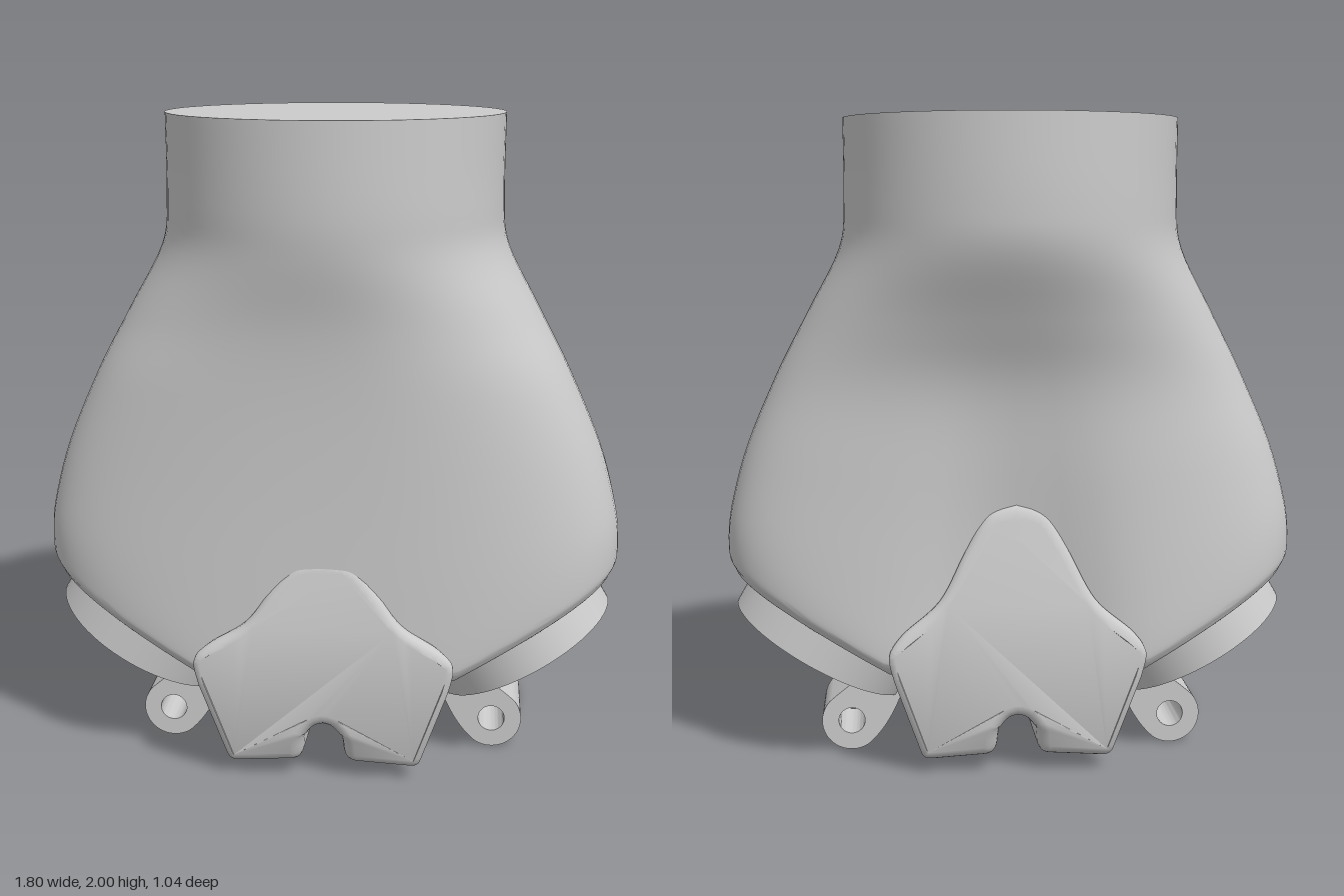
import * as THREE from 'three';
import { mergeVertices, toCreasedNormals } from 'three/addons/utils/BufferGeometryUtils.js';

const grey = new THREE.MeshStandardMaterial({ color: 0xcccccc });

function part(name, geometry, parent) {
  const mesh = new THREE.Mesh(geometry, grey);
  mesh.name = name;
  parent.add(mesh);
  return mesh;
}

// Slanted underside of the hips, rising outwards on both sides
const underside = x => Math.max(0.3, 0.57 + 0.577 * (Math.abs(x) - 0.85));

// Sections: height at outer edge, half width, front depth, back depth, squareness, back groove, slant
const SECTIONS = [
  [2, 0.52, 0.52, 0.52, 2, 0, 0],
  [1.75, 0.52, 0.52, 0.52, 2, 0, 0],
  [1.6, 0.537, 0.505, 0.5, 2.05, 0, 0],
  [1.4, 0.64, 0.465, 0.41, 2.3, 0, 0],
  [1.22, 0.738, 0.445, 0.345, 2.6, 0.02, 0.1],
  [1, 0.835, 0.435, 0.335, 2.8, 0.06, 0.35],
  [0.8, 0.888, 0.432, 0.337, 3, 0.11, 0.75],
  [0.67, 0.9, 0.43, 0.34, 3, 0.14, 1],
  [0.62, 0.885, 0.42, 0.33, 3, 0.15, 1],
  [0.6, 0.82, 0.38, 0.29, 3, 0.14, 1],
  [0.6, 0.4, 0.2, 0.1, 3, 0.05, 1],
];

// Catmull-Rom blend between neighbouring sections
function sectionAt(t) {
  const last = SECTIONS.length - 1;
  const i = Math.min(Math.floor(t), last - 1), u = t - i;
  const row = k => SECTIONS[Math.min(Math.max(k, 0), last)];
  return row(i).map((b, c) => {
    const a = row(i - 1)[c], d = row(i + 1)[c], e = row(i + 2)[c];
    return b + 0.5 * u * (d - a + u * (2 * a - 5 * b + 4 * d - e + u * (3 * (b - d) + e - a)));
  });
}

function hipGeometry() {
  const around = 80, perSection = 5, rows = (SECTIONS.length - 1) * perSection;
  const pos = [], index = [];
  for (let r = 0; r <= rows; r++) {
    const [h, w, front, back, n, groove, slant] = sectionAt(r / perSection);
    const zc = (front - back) / 2, hd = (front + back) / 2;
    for (let k = 0; k < around; k++) {
      const a = k / around * Math.PI * 2, c = Math.cos(a), s = Math.sin(a);
      const x = w * Math.sign(c) * Math.abs(c) ** (2 / n);
      let z = zc + hd * Math.sign(s) * Math.abs(s) ** (2 / n);
      if (s < 0) z += groove * Math.exp(-((x / 0.22) ** 2));
      pos.push(x, h + slant * (underside(x) - 0.599), z);
    }
  }
  for (let r = 0; r < rows; r++) {
    for (let k = 0; k < around; k++) {
      const a = r * around + k, b = r * around + (k + 1) % around;
      index.push(a, b, a + around, b, b + around, a + around);
    }
  }
  // Closing fans at the waist and underneath
  const top = pos.length / 3;
  pos.push(0, 2, 0, 0, 0.3, 0.04);
  for (let k = 0; k < around; k++) {
    const next = (k + 1) % around;
    index.push(top, next, k, top + 1, rows * around + k, rows * around + next);
  }
  const g = new THREE.BufferGeometry();
  g.setAttribute('position', new THREE.Float32BufferAttribute(pos, 3));
  g.setIndex(index);
  return toCreasedNormals(g, 0.8);
}

// Crotch block: notched shield outline run from back to front, pinched in the middle
function crotchGeometry() {
  const v = list => list.map(([x, y]) => new THREE.Vector2(x, y));
  const shape = new THREE.Shape();
  shape.moveTo(0, 0.705);
  shape.splineThru(v([[0.09, 0.685], [0.165, 0.605], [0.25, 0.5], [0.37, 0.43], [0.41, 0.38], [0.395, 0.3]]));
  shape.lineTo(0.315, 0.07);
  shape.quadraticCurveTo(0.305, 0.03, 0.27, 0.033);
  shape.lineTo(0.1, 0.045);
  shape.quadraticCurveTo(0.067, 0.05, 0.065, 0.09);
  shape.splineThru(v([[0.058, 0.14], [0.03, 0.175], [0, 0.185]]));
  const right = shape.getPoints(6);
  const left = right.slice(1, -1).reverse().map(p => new THREE.Vector2(-p.x, p.y));
  const bevel = 0.035, zBack = -0.36, zFront = 0.48;
  let g = new THREE.ExtrudeGeometry(new THREE.Shape([...right, ...left]), {
    depth: zFront - zBack - 2 * bevel, steps: 16,
    bevelSize: bevel, bevelThickness: bevel, bevelOffset: -bevel, bevelSegments: 4,
  });
  g.translate(0, 0, zBack + bevel);
  const p = g.attributes.position;
  for (let i = 0; i < p.count; i++) {
    let x = p.getX(i), y = p.getY(i), z = p.getZ(i);
    const f = (z - 0.06) / 0.42, mid = Math.max(0, 1 - f * f);
    x *= 1 - 0.35 * mid;
    // Both faces lean in towards the peak and tuck under at the feet
    z -= f * (f < 0 ? 0.28 : 0.17) * Math.max(0, y - 0.4);
    z -= f * 0.35 * Math.max(0, 0.15 - y);
    if (f < 0 && y > 0.4) y += (y - 0.4) * 0.45 * -f;
    if (y < 0.15) y += 0.05 * mid;
    p.setXYZ(i, x, y, z);
  }
  g.deleteAttribute('uv');
  g.deleteAttribute('normal');
  g = mergeVertices(g, 1e-4);
  return toCreasedNormals(g, 0.7);
}

// Hinge lug with a pin hole
function lugGeometry() {
  const cx = 0.515, cy = 0.095;
  const s = new THREE.Shape();
  s.moveTo(0.36, 0.26);
  s.lineTo(0.36, 0.17);
  s.quadraticCurveTo(0.4, 0.07, 0.46, 0.018);
  s.absarc(cx, cy, 0.095, -2.1, 0.75, false);
  s.quadraticCurveTo(0.55, 0.19, 0.51, 0.22);
  s.lineTo(0.5, 0.28);
  const hole = new THREE.Path();
  hole.absarc(cx, cy, 0.042, 0, Math.PI * 2, true);
  s.holes.push(hole);
  const g = new THREE.ExtrudeGeometry(s, { depth: 0.25, bevelEnabled: false, curveSegments: 24 });
  g.translate(0, 0, -0.125);
  return toCreasedNormals(g, 0.6);
}

export function createModel() {
  const model = new THREE.Group();
  model.name = 'hipSection';
  part('hips', hipGeometry(), model);
  part('crotchBlock', crotchGeometry(), model);

  // Leg joints, one per side
  const lug = lugGeometry();
  const disc = new THREE.CylinderGeometry(0.305, 0.305, 0.22, 64);
  disc.translate(0, 0.11, 0);
  for (const side of ['left', 'right']) {
    const joint = new THREE.Group();
    joint.name = side + 'LegJoint';
    joint.position.z = 0.045;
    if (side === 'right') joint.rotation.y = Math.PI;
    const plate = part(side + 'LegDisc', disc, joint);
    plate.position.set(0.616, 0.317, 0);
    plate.rotation.z = Math.PI / 6;
    part(side + 'HingeLug', lug, joint);
    model.add(joint);
  }
  return model;
}
